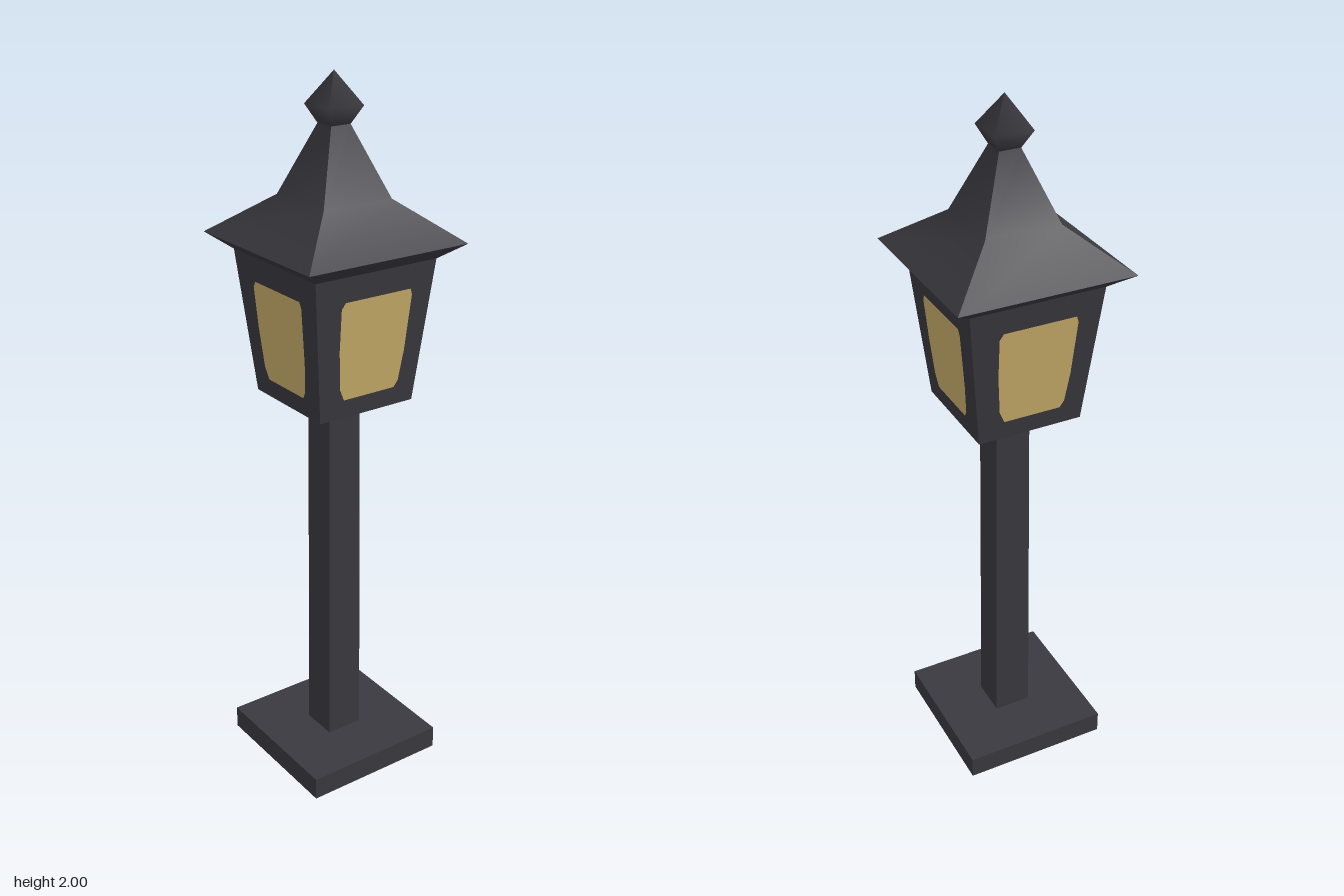
import * as THREE from 'three';

const iron = new THREE.MeshStandardMaterial({ color: 0x39393f, side: THREE.DoubleSide });
iron.name = 'darkIron';
const glass = new THREE.MeshStandardMaterial({ color: 0xc8ad6a, side: THREE.DoubleSide });
glass.name = 'amberGlass';

// Square tower through [halfWidth, y] rows: hard corners, smooth along each side
function squareLoft(rows) {
  const pos = [], idx = [];
  for (let s = 0; s < 4; s++) {
    const turn = s * Math.PI / 2, start = pos.length / 3;
    rows.forEach(([h, y], i) => {
      for (const x of [-h, h]) {
        const v = new THREE.Vector3(x, y, h).applyAxisAngle(THREE.Object3D.DEFAULT_UP, turn);
        pos.push(v.x, v.y, v.z);
      }
      if (i > 0) {
        const a = start + (i - 1) * 2;
        idx.push(a, a + 1, a + 3, a, a + 3, a + 2);
      }
    });
  }
  const g = new THREE.BufferGeometry();
  g.setAttribute('position', new THREE.Float32BufferAttribute(pos, 3));
  g.setIndex(idx);
  g.computeVertexNormals();
  return g;
}

// Flat horizontal square facing up (1) or down (-1)
function plate(half, y, facing) {
  return new THREE.PlaneGeometry(half * 2, half * 2).rotateX(-facing * Math.PI / 2).translate(0, y, 0);
}

export function createModel() {
  const group = new THREE.Group();
  const add = (name, geometry, material = iron) => {
    const mesh = new THREE.Mesh(geometry, material);
    mesh.name = name;
    group.add(mesh);
    return mesh;
  };

  // Foot: shallow box, open underneath
  add('footSides', squareLoft([[0.215, 0], [0.215, 0.066]]));
  add('footTop', plate(0.215, 0.066, 1));

  // Slightly tapered post
  add('post', squareLoft([[0.055, 0.066], [0.05, 1.135]]));

  // Lantern body, wider at the top
  const bottomY = 1.133, topY = 1.53, bottomHalf = 0.15, topHalf = 0.19;
  add('lanternBody', squareLoft([[bottomHalf, bottomY], [topHalf, topY]]));
  add('lanternFloor', plate(bottomHalf, bottomY, -1));

  // Glass panes lying on the sloping lantern faces
  const outline = [[-0.095, 1.462], [-0.106, 1.445], [-0.104, 1.33], [-0.095, 1.22], [-0.08, 1.186],
    [0.083, 1.186], [0.095, 1.205], [0.107, 1.29], [0.117, 1.445], [0.111, 1.462]];
  const pane = new THREE.ShapeGeometry(new THREE.Shape(outline.map(([x, y]) => new THREE.Vector2(x, y))));
  const p = pane.attributes.position;
  for (let i = 0; i < p.count; i++) {
    const t = (p.getY(i) - bottomY) / (topY - bottomY);
    p.setZ(i, bottomHalf + t * (topHalf - bottomHalf) + 0.002);
  }
  pane.computeVertexNormals();
  for (let s = 0; s < 4; s++) add('windowPane', pane, glass).rotation.y = s * Math.PI / 2;

  // Flared roof with a sloping underside
  add('eaves', squareLoft([[topHalf, topY], [0.247, 1.573]]));
  add('roof', squareLoft([[0.247, 1.573], [0.106, 1.682], [0.03, 1.868]]));

  // Four-sided finial with soft shading
  const profile = [[0.03, 1.868], [0.054, 1.915], [0, 2]].map(([h, y]) => new THREE.Vector2(h * Math.SQRT2, y));
  add('finial', new THREE.LatheGeometry(profile, 4, Math.PI / 4));

  return group;
}
